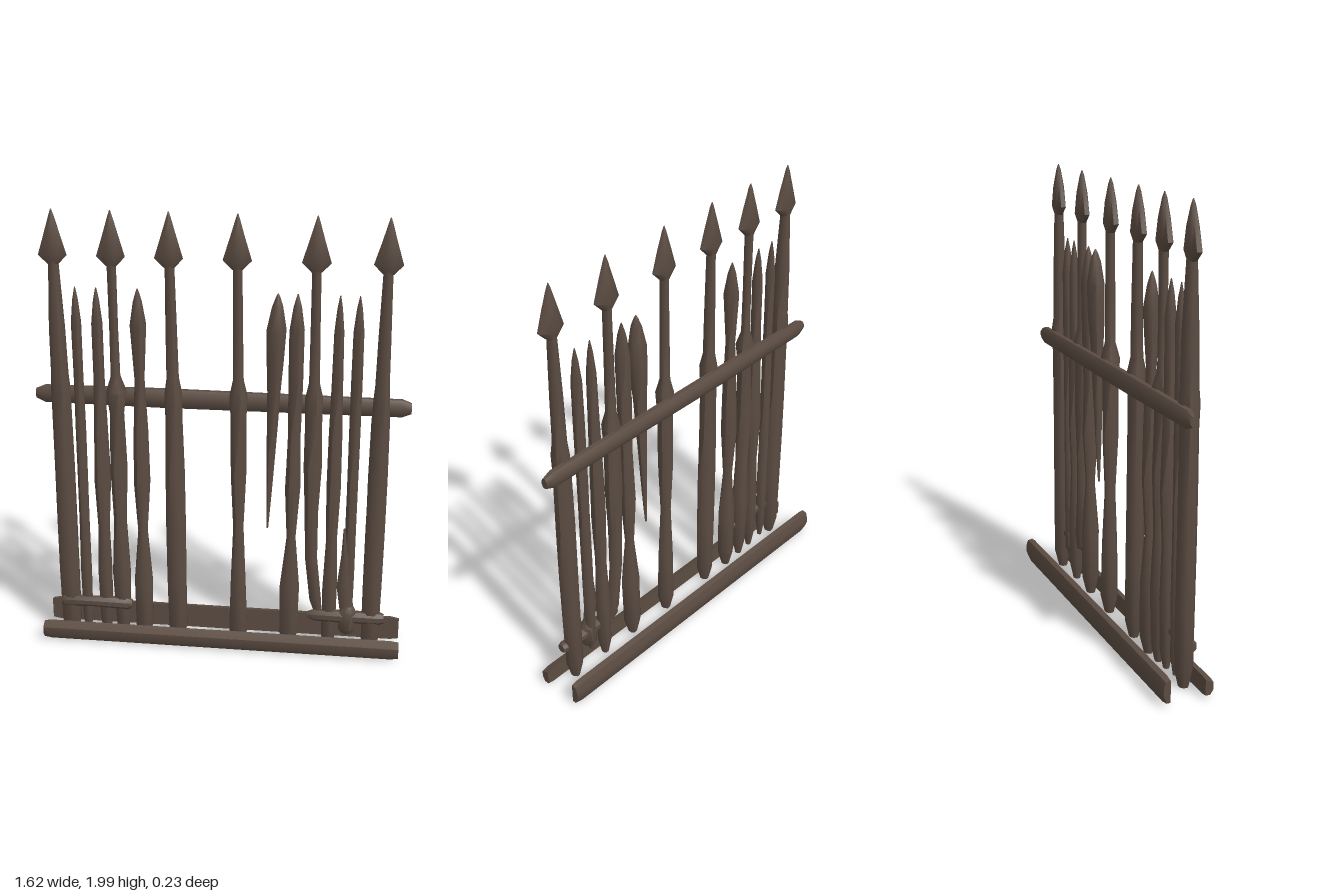
import * as THREE from 'three';
import { toCreasedNormals } from 'three/addons/utils/BufferGeometryUtils.js';

const Z = 0.038; // depth of the row of stakes
const { lerp } = THREE.MathUtils;

// Skin a list of rings of points and close both ends
function skin(rings, crease) {
  const n = rings[0].length, idx = [];
  const last = (rings.length - 1) * n;
  for (let a0 = 0; a0 < last; a0 += n) for (let j = 0; j < n; j++) {
    const a = a0 + j, b = a0 + (j + 1) % n;
    idx.push(a, a + n, b, b, a + n, b + n);
  }
  for (let j = 1; j < n - 1; j++) idx.push(0, j, j + 1, last, last + j + 1, last + j);
  const g = new THREE.BufferGeometry().setFromPoints(rings.flat());
  g.setIndex(idx);
  return toCreasedNormals(g, crease);
}

// Upright piece from rows of { y, x, r, d }: centre, half width, half depth
function upright(rows, z = Z) {
  return skin(rows.map(({ y, x, r, d = Math.min(r, 0.037) }) =>
    Array.from({ length: 8 }, (_, j) => {
      const a = (j + 0.5) / 8 * Math.PI * 2;
      const k = 1.04 + 0.05 * Math.sin(j * 2.3 + y * 4); // hand-cut wobble
      return new THREE.Vector3(x + r * k * Math.cos(a), y, z + d * k * Math.sin(a));
    })), 0.9);
}

// Carved shaft: half widths in hundredths, evenly spaced from foot to shoulder
function shaft(x0, x1, base, shoulder, widths, ending, kick = 0) {
  const row = (y, r, d) => ({ y, r, d, x: lerp(x0, x1, y / 2) + kick * Math.max(0, 0.6 - y) ** 2 });
  const body = widths.map((w, i) => row(lerp(base + 0.08, shoulder, i / (widths.length - 1)), w / 100));
  return upright([row(base, widths[0] / 200), ...body, ...ending.map(e => row(...e))]);
}

// Lengthwise beam: a (z, y) section scaled about (cz, cy) at stations [x, scale]
function beam(section, cz, cy, stations) {
  return skin(stations.map(([x, s]) => section.map(([z, y]) =>
    new THREE.Vector3(x, cy + (y - cy) * s, cz + (z - cz) * s))), 0.7);
}

function oval(cz, cy, rz, ry) {
  return Array.from({ length: 8 }, (_, j) => {
    const a = (j + 0.5) / 8 * Math.PI * 2;
    return [cz + rz * Math.cos(a), cy + ry * Math.sin(a)];
  });
}

export function createModel() {
  const group = new THREE.Group();
  const wood = new THREE.MeshStandardMaterial({ color: 0x5b4c42 });
  wood.name = 'dark weathered wood';
  const add = (name, geo) => {
    const mesh = new THREE.Mesh(geo, wood);
    mesh.name = name;
    group.add(mesh);
  };

  // Tall post with a collar at the rail and a flattened, barbed spearhead
  const tallPost = (x0, x1, widths, collar, stem, base = 0.015, kick = 0) => {
    add('tallPost', shaft(x0, x1, base, 1.12, widths, [
      [1.22, collar / 100, 0.042], [1.29, stem / 100], [1.5, stem / 110], [1.82, 0.019]], kick));
    const head = [[1.77, 0.022, 0.018], [1.81, 0.06, 0.026], [1.9, 0.032, 0.022], [1.975, 0.01, 0.01], [2, 0.002, 0.002]];
    add('spearhead', upright(head.map(([y, r, d]) => ({ y, x: x1, r, d }))));
  };
  tallPost(-0.686, -0.697, [4.2, 4.4, 4.4, 4.3, 4.1], 4, 3.6);
  tallPost(-0.445, -0.452, [3, 4, 2.8, 3.7, 3], 4.3, 2);
  tallPost(-0.19, -0.21, [4.1, 4.3, 4.4, 4.2, 3.6], 3.7, 2.6);
  tallPost(0.086, 0.073, [4.1, 3.3, 2.3, 3.4, 3.4], 3.8, 2.3);
  tallPost(0.405, 0.396, [2.6, 2.7, 3, 4, 3.6], 3.8, 2.3, 0.19, 0.25);
  tallPost(0.679, 0.685, [3.9, 4.1, 4.3, 4.3, 3.9], 3.5, 3);

  // Short stake whose leaf-shaped tip shrinks from the last width
  const shortStake = (x0, x1, base, widths) => {
    const w = widths.at(-1) / 100;
    add('shortStake', shaft(x0, x1, base, 1.52, widths, [[1.62, w * 0.55], [1.66, w * 0.22], [1.675, 0.002]]));
  };
  shortStake(-0.611, -0.611, 0.03, [2.1, 2.4, 2.2, 2.2, 2.2, 2, 2.1]);
  shortStake(-0.523, -0.521, 0.02, [2.6, 3.1, 2.5, 3.6, 2.9, 2.3, 2.3]);
  shortStake(-0.346, -0.346, 0.01, [3.8, 4, 2.1, 3.6, 3.1, 2.1, 3.4]);
  shortStake(0.192, 0.251, 0.61, [0.8, 1.4, 1.9, 2.4, 2.8, 3.6, 4.2]);
  shortStake(0.312, 0.325, 0.02, [4, 4.3, 2, 3.4, 2.7, 3.1, 3.2]);
  shortStake(0.492, 0.497, 0.02, [3.1, 3.2, 2.4, 3.2, 2.9, 2.4, 2.1]);
  shortStake(0.574, 0.577, 0.1, [2.2, 2.4, 2.4, 2.4, 2.4, 2.4, 2.3]);

  // Broken splinter and the knot that ties it to the low rail
  add('splinter', upright([
    { y: 0.22, x: 0.575, r: 0.032, d: 0.02 }, { y: 0.35, x: 0.555, r: 0.031, d: 0.02 },
    { y: 0.5, x: 0.557, r: 0.018 }, { y: 0.63, x: 0.549, r: 0.004 }], 0.05));
  add('knot', upright([
    { y: 0.12, x: 0.575, r: 0.025, d: 0.02 }, { y: 0.145, x: 0.573, r: 0.036 },
    { y: 0.23, x: 0.577, r: 0.036 }, { y: 0.255, x: 0.58, r: 0.02 }], 0.053));

  // Top rail behind the stakes
  add('topRail', beam(oval(-0.002, 1.183, 0.028, 0.045), -0.002, 1.183,
    [[-0.81, 0.5], [-0.77, 0.9], [-0.25, 1], [0.4, 0.93], [0.77, 0.9], [0.81, 0.55]]));

  // Bottom beams, flat on the side facing the stakes
  const ends = [[-0.81, 0.88], [-0.775, 1], [0.775, 1], [0.81, 0.88]];
  add('frontBeam', beam([[0.075, 0.02], [0.1, 0.02], [0.115, 0.045], [0.115, 0.08], [0.075, 0.1]], 0.078, 0.06, ends));
  add('backBeam', beam([[-0.08, 0.02], [-0.08, 0.13], [-0.105, 0.125], [-0.115, 0.09], [-0.115, 0.06], [-0.1, 0.02]], -0.08, 0.075, ends));

  // Short low rails across the outer stakes
  const low = oval(0.055, 0.2, 0.028, 0.03);
  add('lowRailRight', beam(low, 0.055, 0.2, [[-0.725, 0.7], [-0.71, 1.05], [-0.6, 0.8], [-0.42, 1], [-0.4, 0.6]]));
  add('lowRailLeft', beam(low, 0.055, 0.2, [[0.4, 0.5], [0.43, 0.9], [0.55, 1], [0.72, 0.95], [0.738, 0.7]]));

  return group;
}
